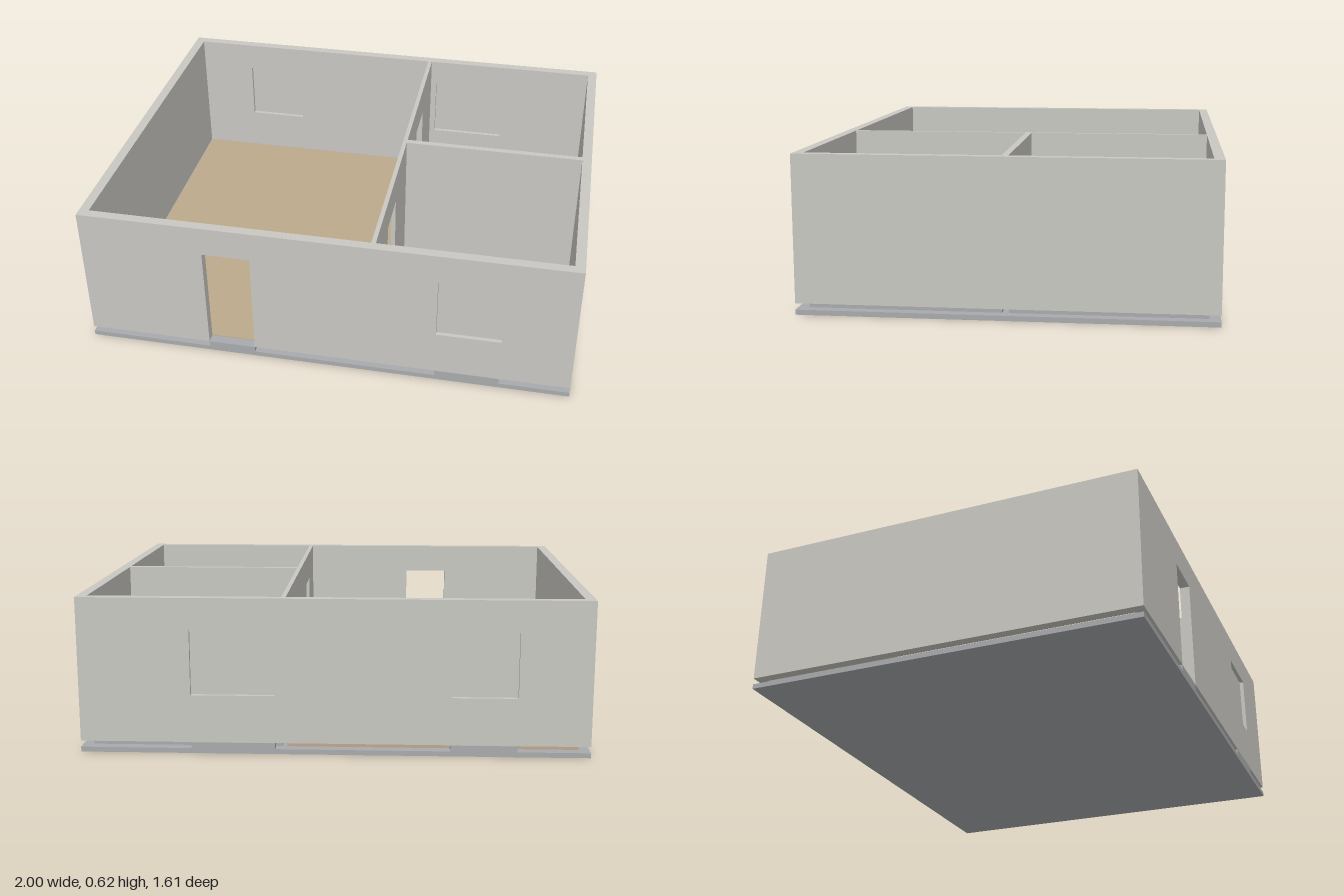
import * as THREE from 'three';

const wallMat = new THREE.MeshStandardMaterial({ name: 'wall plaster', color: 0xc8c7c2 });
const concreteMat = new THREE.MeshStandardMaterial({ name: 'concrete', color: 0xa8aaad });
const woodMat = new THREE.MeshStandardMaterial({ name: 'wood floor', color: 0xbda98c });

// Main levels and outer dimensions
const SLAB = 0.02, BASE = 0.045, TOP = 0.62, HEAD = 0.495, SILL = 0.235;
const HX = 1, HZ = 0.804, T = 0.04;

function box(name, mat, x0, x1, y0, y1, z0, z1) {
  const mesh = new THREE.Mesh(new THREE.BoxGeometry(x1 - x0, y1 - y0, z1 - z0), mat);
  mesh.position.set((x0 + x1) / 2, (y0 + y1) / 2, (z0 + z1) / 2);
  mesh.name = name;
  return mesh;
}

// A wall along local x, centred on z = 0, with door notches, window holes,
// thin window panes and floor-level thresholds under every opening
function makeWall(name, from, to, thick, doors = [], windows = []) {
  const group = new THREE.Group();
  group.name = name;
  const shape = new THREE.Shape();
  shape.moveTo(from, BASE);
  for (const [a, b] of doors) {
    shape.lineTo(a, BASE);
    shape.lineTo(a, HEAD);
    shape.lineTo(b, HEAD);
    shape.lineTo(b, BASE);
  }
  shape.lineTo(to, BASE);
  shape.lineTo(to, TOP);
  shape.lineTo(from, TOP);
  shape.closePath();
  for (const [a, b] of windows) {
    const hole = new THREE.Path();
    hole.moveTo(a, SILL);
    hole.lineTo(a, HEAD);
    hole.lineTo(b, HEAD);
    hole.lineTo(b, SILL);
    hole.closePath();
    shape.holes.push(hole);
    group.add(box('windowPane', wallMat, a, b, SILL, HEAD, -0.003, 0.003));
  }
  const geo = new THREE.ExtrudeGeometry(shape, { depth: thick, bevelEnabled: false });
  geo.translate(0, 0, -thick / 2);
  const body = new THREE.Mesh(geo, wallMat);
  body.name = name + 'Body';
  group.add(body);
  for (const [a, b] of [...doors, ...windows]) {
    group.add(box('threshold', concreteMat, a, b, SLAB, BASE - 0.001, -thick / 2, thick / 2));
  }
  return group;
}

export function createModel() {
  const model = new THREE.Group();
  model.name = 'house';

  // Foundation slab and raised room floors
  model.add(box('foundationSlab', concreteMat, -HX, HX, 0, SLAB, -HZ, HZ));
  model.add(box('mainRoomFloor', woodMat, -0.958, 0.186, SLAB, BASE, -0.762, 0.762));
  model.add(box('frontRoomFloor', concreteMat, 0.204, 0.958, SLAB, BASE, 0.013, 0.762));
  model.add(box('backRoomFloor', concreteMat, 0.204, 0.958, SLAB, BASE, -0.762, -0.013));

  // Front and back walls
  const front = makeWall('frontWall', -HX, HX, T, [[-0.49, -0.295]], [[0.455, 0.715]]);
  front.position.z = HZ - T / 2;
  const back = makeWall('backWall', -HX, HX, T, [], [[-0.715, -0.455], [0.23, 0.56]]);
  back.position.z = -HZ + T / 2;
  model.add(front, back);

  // Plain side walls
  for (const side of [-1, 1]) {
    const wall = makeWall(side > 0 ? 'leftWall' : 'rightWall', -HZ + T, HZ - T, T);
    wall.rotation.y = -Math.PI / 2;
    wall.position.x = side * (HX - T / 2);
    model.add(wall);
  }

  // Long partition with two doorways, and the cross partition between small rooms
  const partition = makeWall('longPartition', -HZ + T, HZ - T, 0.018,
    [[-0.485, -0.295], [0.29, 0.485]]);
  partition.rotation.y = -Math.PI / 2;
  partition.position.x = 0.195;
  model.add(partition);
  model.add(makeWall('crossPartition', 0.204, HX - T, 0.026));

  return model;
}
